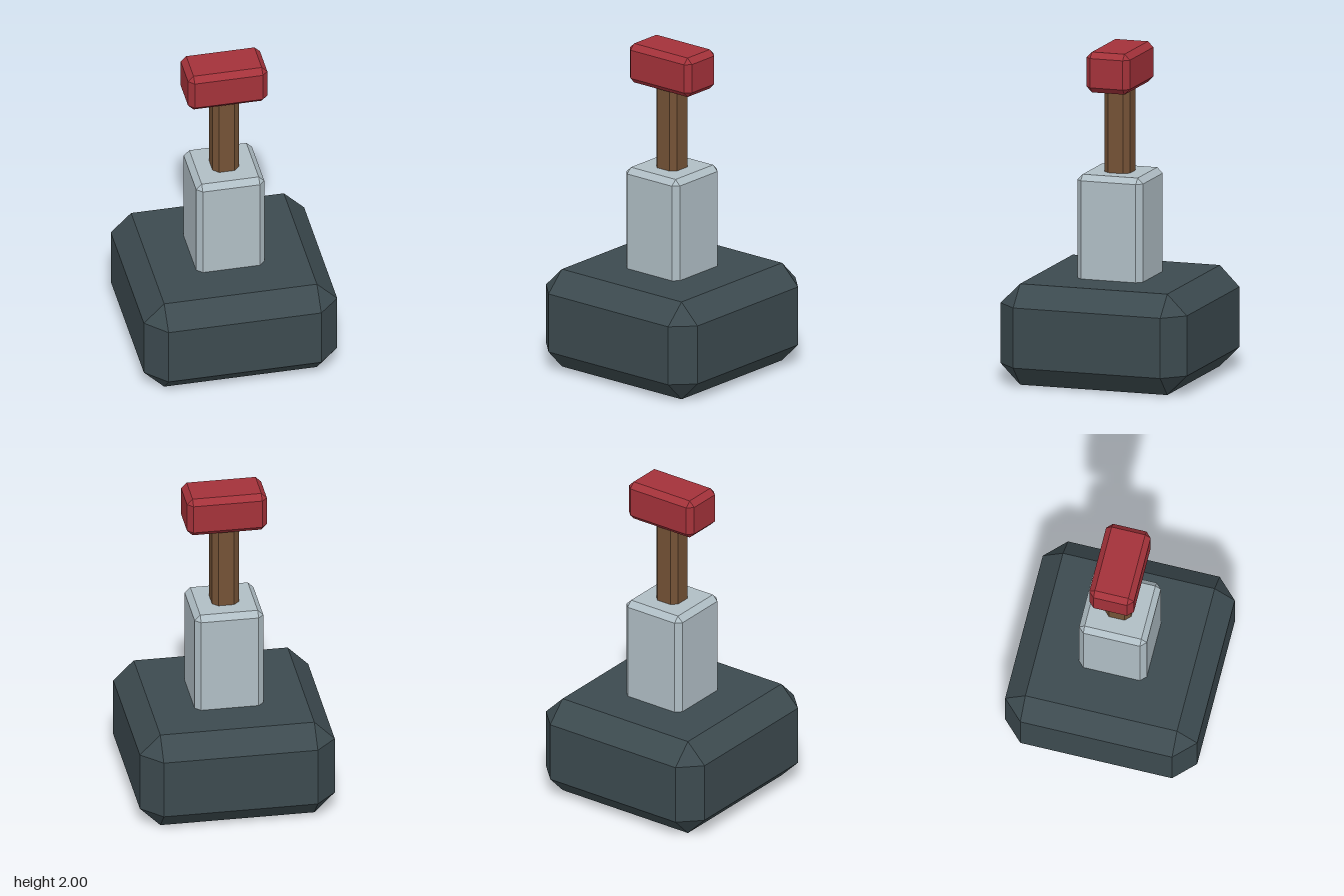
import * as THREE from 'three';
import { ConvexGeometry } from 'three/addons/geometries/ConvexGeometry.js';

// Box with every edge cut by c and triangular corners, spanning y0..y1
function chamferedBox(name, color, w, d, y0, y1, c) {
  const half = new THREE.Vector3(w / 2, (y1 - y0) / 2, d / 2);
  const points = [];
  for (const sx of [-1, 1]) for (const sy of [-1, 1]) for (const sz of [-1, 1]) {
    for (const axis of [0, 1, 2]) {
      const p = half.clone().subScalar(c);
      p.setComponent(axis, half.getComponent(axis));
      points.push(p.multiply(new THREE.Vector3(sx, sy, sz)));
    }
  }
  const material = new THREE.MeshStandardMaterial({ color, flatShading: true });
  const mesh = new THREE.Mesh(new ConvexGeometry(points), material);
  mesh.name = name;
  mesh.position.y = (y0 + y1) / 2;
  return mesh;
}

export function createModel() {
  const group = new THREE.Group();
  group.name = 'lever';
  group.add(
    // Heavy block, metal post, wooden shaft and red grip, stacked upward
    chamferedBox('base', 0x3c4a4f, 1.18, 1.18, 0, 0.614, 0.124),
    chamferedBox('post', 0xb0bec5, 0.416, 0.416, 0.55, 1.245, 0.034),
    chamferedBox('shaft', 0x745236, 0.162, 0.162, 1.15, 1.82, 0.033),
    chamferedBox('grip', 0xa4323a, 0.484, 0.274, 1.754, 2, 0.034),
  );
  return group;
}
